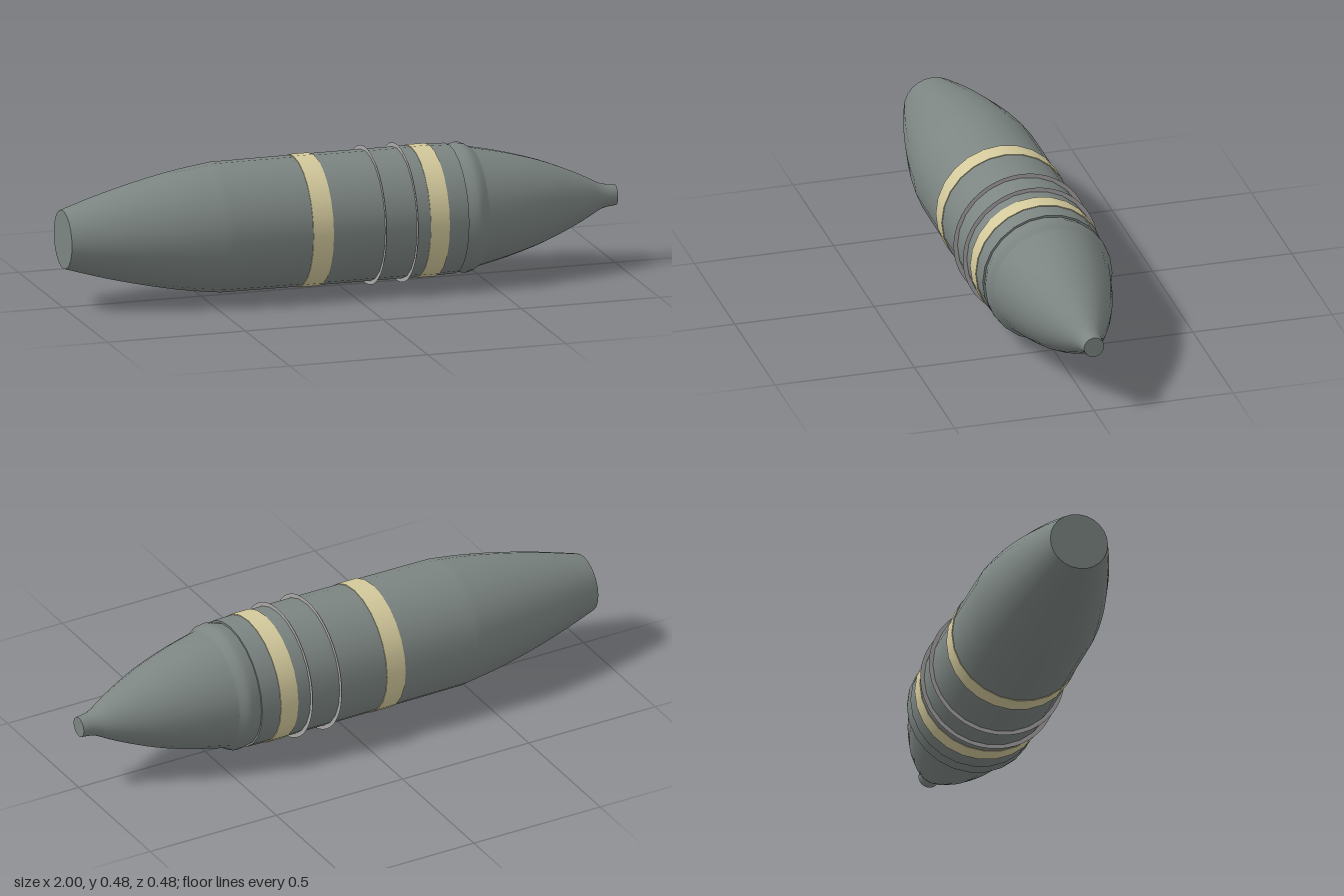
import * as THREE from 'three';

const AXIS_Y = 0.243; // height of the long axis
const SIDES = 24;

const material = (name, color, side = THREE.FrontSide) => {
  const m = new THREE.MeshStandardMaterial({ color, side });
  m.name = name;
  return m;
};

// Turned part: profile of [x along axis, radius], listed from tail to nose
function turned(name, profile, mat, sides = SIDES) {
  const points = profile.map(([x, r]) => new THREE.Vector2(r, x));
  const geometry = new THREE.LatheGeometry(points, sides);
  geometry.rotateZ(-Math.PI / 2);
  const mesh = new THREE.Mesh(geometry, mat);
  mesh.name = name;
  return mesh;
}

// Smooth curve sampled through a few profile points
function smooth(profile, steps) {
  const curve = new THREE.SplineCurve(profile.map(([x, r]) => new THREE.Vector2(x, r)));
  return curve.getPoints(steps).map((p) => [p.x, p.y]);
}

export function createModel() {
  const grey = material('greyPaint', 0x7c8582);
  const cream = material('creamPaint', 0xd3c99c);
  const steel = material('paleSteel', 0xa9a6a6, THREE.DoubleSide);

  const shell = new THREE.Group();
  shell.name = 'shell';
  shell.position.y = AXIS_Y;

  // Tapered tail with its flat base
  const tail = smooth([[-1, 0.103], [-0.86, 0.145], [-0.72, 0.18], [-0.58, 0.208], [-0.45, 0.226]], 14);
  shell.add(turned('tailBase', [[-1, 0], [-1, 0.103]], grey));
  shell.add(turned('body', [...tail, [-0.3, 0.227], [0, 0.228], [0.3, 0.228], [0.4, 0.226]], grey));
  shell.add(turned('bodyShoulder', [[0.4, 0.226], [0.4, 0.2]], grey));

  // Nose: raised collar, curved cone, flared tip
  shell.add(turned('noseCollar', [[0.4, 0.219], [0.415, 0.222], [0.435, 0.227], [0.452, 0.225],
    [0.465, 0.217], [0.48, 0.209]], grey));
  shell.add(turned('noseCone', smooth([[0.48, 0.209], [0.6, 0.182], [0.73, 0.143],
    [0.85, 0.093], [0.93, 0.052]], 14), grey));
  shell.add(turned('noseTip', [[0.93, 0.052], [0.95, 0.043], [0.97, 0.039], [1, 0.036]], grey));
  shell.add(turned('tipCap', [[1, 0.036], [1, 0]], grey));

  // Painted bands, just proud of the body
  for (const [start, end] of [[-0.165, -0.092], [0.26, 0.328]]) {
    shell.add(turned('paintedBand', [[start, 0.226], [start, 0.2305], [start, 0.2305],
      [end, 0.2305], [end, 0.2305], [end, 0.226]], cream));
  }

  // Thin flat rings around the body
  for (const x of [0.095, 0.21]) {
    const ring = new THREE.Mesh(new THREE.RingGeometry(0.226, 0.242, 64), steel);
    ring.name = 'flatRing';
    ring.rotation.y = Math.PI / 2;
    ring.position.x = x;
    shell.add(ring);
  }

  const model = new THREE.Group();
  model.name = 'model';
  model.add(shell);
  return model;
}
